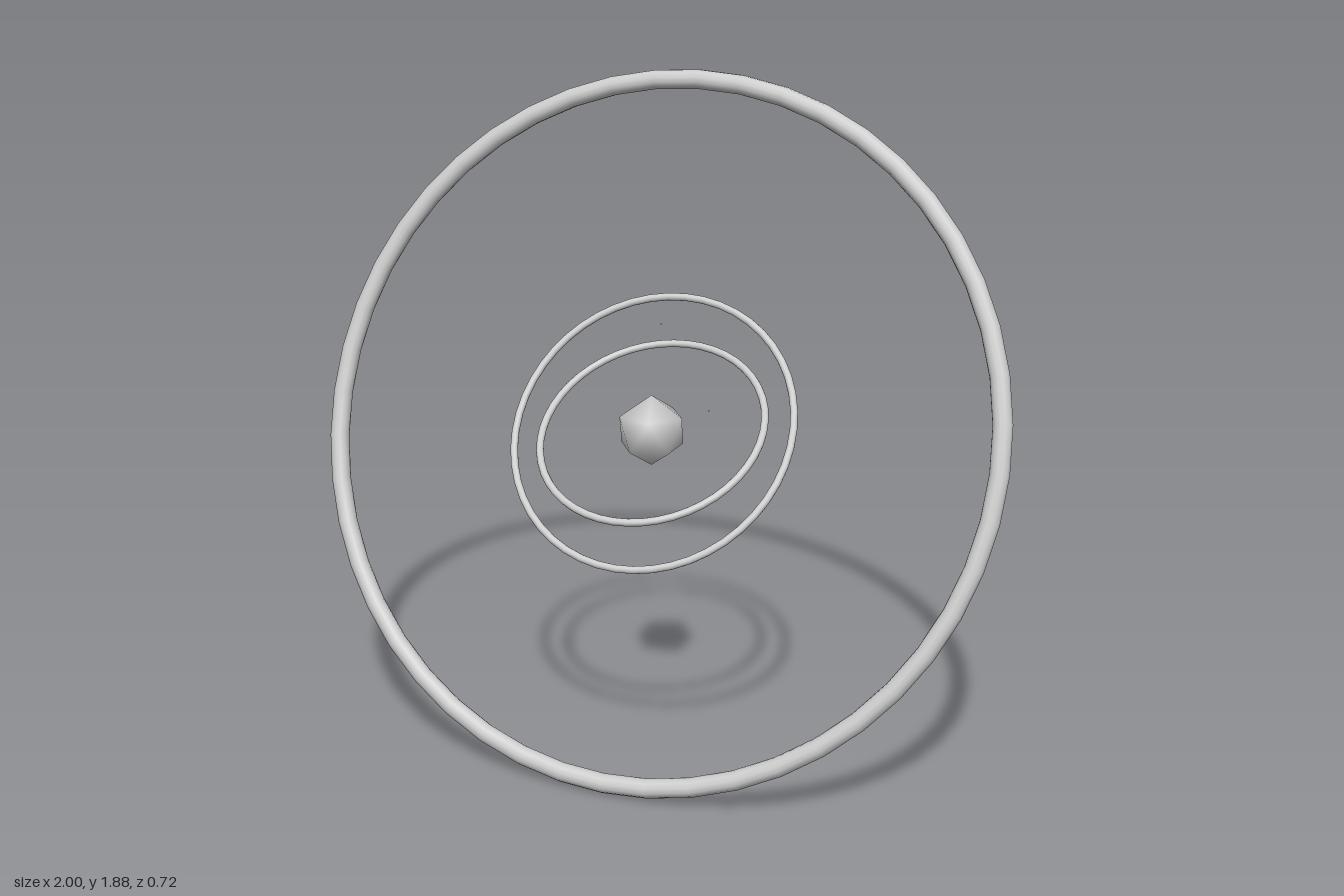
import * as THREE from 'three';
import { mergeVertices } from 'three/addons/utils/BufferGeometryUtils.js';

const grey = new THREE.MeshStandardMaterial({ color: 0xcccccc });
grey.name = 'plain grey';

const rad = THREE.MathUtils.degToRad;

function add(parent, name, geometry) {
  const mesh = new THREE.Mesh(geometry, grey);
  mesh.name = name;
  parent.add(mesh);
  return mesh;
}

// Smooth-shaded icosahedron standing on a vertex
function coreGeometry(radius) {
  const raw = new THREE.IcosahedronGeometry(radius, 0);
  raw.deleteAttribute('normal');
  raw.deleteAttribute('uv');
  const geometry = mergeVertices(raw, 1e-4);
  geometry.rotateZ(-Math.atan(2 / (1 + Math.sqrt(5))));
  geometry.computeVertexNormals();
  return geometry;
}

export function createModel() {
  const model = new THREE.Group();
  model.name = 'orbitRings';

  const system = new THREE.Group();
  system.name = 'ringSystem';
  system.position.y = 0.941;
  model.add(system);

  // Central body
  add(system, 'core', coreGeometry(0.1));

  // Concentric rings, each leaning back by its own angle
  const rings = [
    ['outerRing', 0.973, 0.027, 20],
    ['middleRing', 0.403, 0.0105, 38],
    ['innerRing', 0.316, 0.0105, 55.5],
  ];
  for (const [name, radius, tube, lean] of rings) {
    const ring = add(system, name, new THREE.TorusGeometry(radius, tube, 12, 48));
    ring.rotation.x = -rad(lean);
  }

  // Two tiny specks lying in the plane of the middle ring
  const specks = new THREE.Group();
  specks.name = 'specks';
  specks.rotation.x = -rad(38);
  system.add(specks);
  for (const [x, y] of [[-0.053, 0.315], [0.15, 0.076]]) {
    add(specks, 'speck', new THREE.OctahedronGeometry(0.003)).position.set(x, y, 0);
  }

  return model;
}
